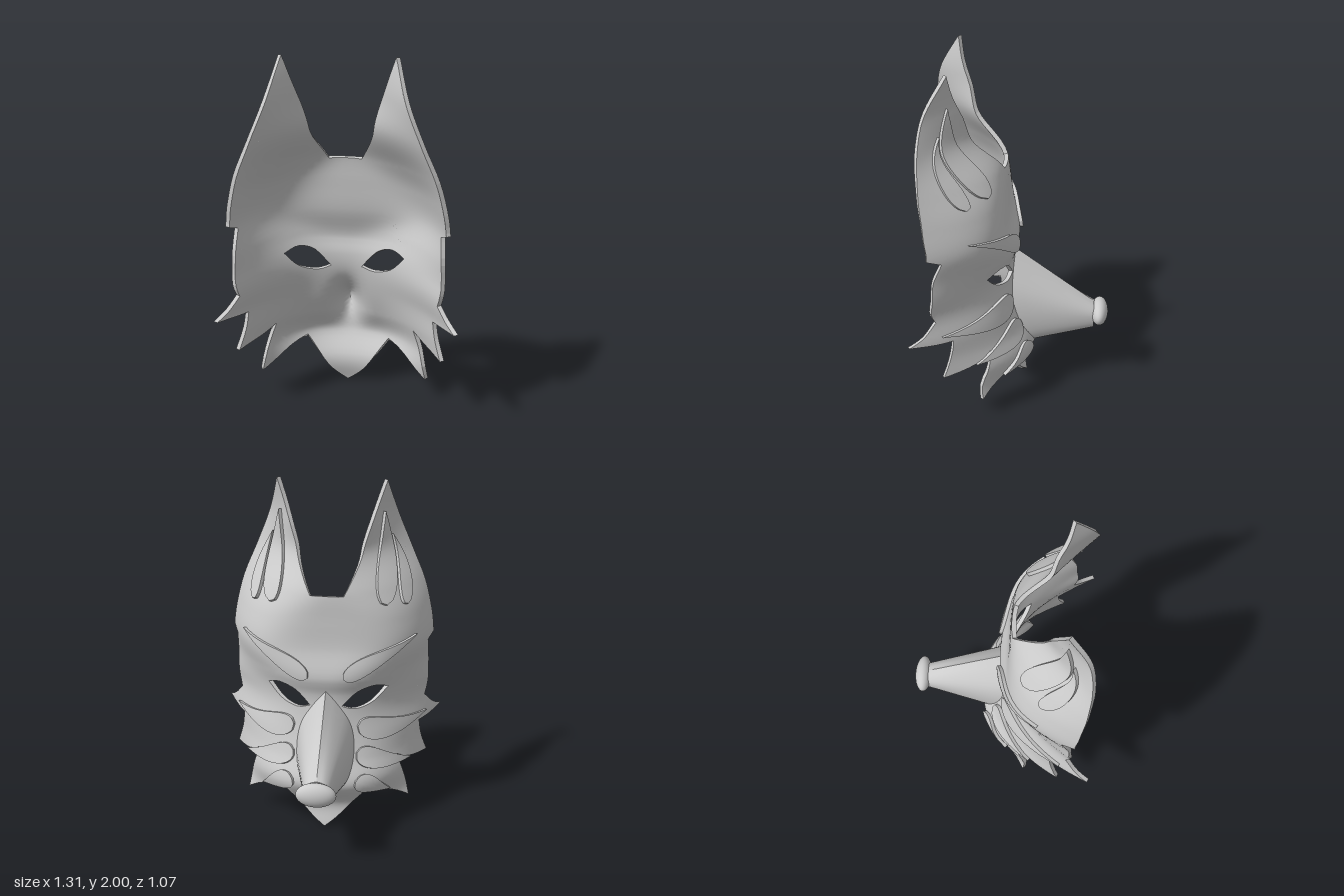
import * as THREE from 'three';

const V = (x, y) => new THREE.Vector2(x, y);
const material = new THREE.MeshStandardMaterial({ color: 0xcccccc });

// Relief of the face by height: [y, z at centre, x at edge, z at edge, curve power]
const RELIEF = [
  [0, -0.06, 0.48, 0.12, 2], [0.14, -0.035, 0.48, 0.15, 2.2], [0.3, -0.115, 0.55, 0.29, 2.5],
  [0.45, -0.05, 0.575, 0.37, 2.5], [0.58, -0.007, 0.65, 0.515, 2.45], [0.72, 0.01, 0.565, 0.41, 2.2],
  [0.82, 0.01, 0.565, 0.39, 2.2], [0.93, -0.012, 0.565, 0.385, 2.6], [1.09, 0.03, 0.59, 0.405, 4],
  [1.25, 0.042, 0.565, 0.42, 3.4], [1.4, 0.05, 0.53, 0.455, 2.2], [1.6, 0.09, 0.45, 0.475, 1.2],
  [1.79, -0.03, 0.365, 0.435, 1], [2, -0.03, 0.3, 0.315, 1],
];

// Smooth (Hermite) lookup of one relief column
function column(y, k) {
  const n = RELIEF.length;
  let i = 0;
  while (i < n - 2 && y > RELIEF[i + 1][0]) i++;
  const slope = (j) => {
    const a = RELIEF[Math.max(j - 1, 0)], b = RELIEF[Math.min(j + 1, n - 1)];
    return (b[k] - a[k]) / (b[0] - a[0]);
  };
  const [a, b] = [RELIEF[i], RELIEF[i + 1]], h = b[0] - a[0];
  const t = THREE.MathUtils.clamp((y - a[0]) / h, 0, 1), s = t * t * (3 - 2 * t);
  return a[k] * (1 - s) + b[k] * s + h * (t * (1 - t) ** 2 * slope(i) - t * t * (1 - t) * slope(i + 1));
}

// Depth of the mask at (x, y), with a hollow behind the muzzle
function depth(x, y) {
  const c = column(y, 1);
  const z = c + (column(y, 3) - c) * (Math.abs(x) / column(y, 2)) ** column(y, 4);
  return z - 0.15 * Math.exp(-((x / 0.08) ** 2) - ((y - 0.51) / 0.125) ** 2);
}

function normalAt(x, y) {
  const e = 0.004;
  return new THREE.Vector3(
    (depth(x - e, y) - depth(x + e, y)) / (2 * e),
    (depth(x, y - e) - depth(x, y + e)) / (2 * e), 1).normalize();
}

// Thin curved plate: a flat outline, finely divided and laid on the relief
function plate(name, contour, holes, outer, inner, maxEdge) {
  const pts = [contour, ...holes].flat();
  let tris = THREE.ShapeUtils.triangulateShape(contour, holes).map(([a, b, c]) => {
    const area = (pts[b].x - pts[a].x) * (pts[c].y - pts[a].y) - (pts[b].y - pts[a].y) * (pts[c].x - pts[a].x);
    return area < 0 ? [a, c, b] : [a, b, c];
  });
  const mids = new Map();
  const middle = (a, b) => {
    if (pts[a].distanceTo(pts[b]) <= maxEdge) return -1;
    const key = Math.min(a, b) + '_' + Math.max(a, b);
    if (!mids.has(key)) mids.set(key, pts.push(pts[a].clone().lerp(pts[b], 0.5)) - 1);
    return mids.get(key);
  };
  for (let changed = true; changed;) {
    changed = false;
    tris = tris.flatMap((t) => {
      const m = t.map((v, i) => middle(v, t[(i + 1) % 3]));
      const count = m.filter((v) => v >= 0).length;
      if (!count) return [t];
      changed = true;
      if (count === 3) return [[t[0], m[0], m[2]], [m[0], t[1], m[1]], [m[2], m[1], t[2]], m];
      // Rotate so that the first edge is split and the third is not
      let r = 0;
      while (m[r] < 0 || m[(r + 2) % 3] >= 0) r++;
      const [a, b, c] = [0, 1, 2].map((i) => t[(i + r) % 3]);
      const p = m[r], q = m[(r + 1) % 3];
      return q < 0 ? [[a, p, c], [p, b, c]] : [[p, b, q], [a, p, q], [a, q, c]];
    });
  }
  const norms = pts.map((p) => normalAt(p.x, p.y));
  const at = (i, off) => new THREE.Vector3(pts[i].x, pts[i].y, depth(pts[i].x, pts[i].y)).addScaledVector(norms[i], off);
  const outside = pts.map((_, i) => at(i, outer)), inside = pts.map((_, i) => at(i, inner));
  const pos = [], nor = [], edges = new Set();
  const put = (p, n) => { pos.push(p.x, p.y, p.z); nor.push(n.x, n.y, n.z); };
  for (const [a, b, c] of tris) {
    for (const i of [a, b, c]) put(inside[i], norms[i]);
    for (const i of [a, c, b]) put(outside[i], norms[i].clone().negate());
    for (const [i, j] of [[a, b], [b, c], [c, a]]) edges.add(i + '_' + j);
  }
  // Rim along every open edge
  for (const key of edges) {
    const [a, b] = key.split('_').map(Number);
    if (edges.has(b + '_' + a)) continue;
    const along = outside[b].clone().sub(outside[a]);
    const n = along.cross(inside[a].clone().sub(outside[a])).normalize();
    for (const p of [outside[a], outside[b], inside[b], outside[a], inside[b], inside[a]]) put(p, n);
  }
  const g = new THREE.BufferGeometry();
  g.setAttribute('position', new THREE.Float32BufferAttribute(pos, 3));
  g.setAttribute('normal', new THREE.Float32BufferAttribute(nor, 3));
  const mesh = new THREE.Mesh(g, material);
  mesh.name = name;
  return mesh;
}

// Smooth line through points, without its last point
const run = (list, n = 4) => new THREE.SplineCurve(list.map(([x, y]) => V(x, y)))
  .getPoints((list.length - 1) * n).slice(0, -1);
const mirror = (list) => list.map((p) => V(-p.x, p.y)).reverse();

// Teardrop leaf, round at the root and pointed at the tip
function leaf([x0, y0], [x1, y1], width, bend) {
  const root = V(x0, y0), dir = V(x1 - x0, y1 - y0), side = V(-dir.y, dir.x).normalize();
  const edge = (s) => Array.from({ length: 17 }, (_, i) => {
    const u = (i / 16) ** 2 * 0.5 + (i / 16) * 0.5;
    const w = s * width * Math.sin(Math.PI * Math.sqrt(u)) + bend * Math.sin(Math.PI * u);
    return root.clone().addScaledVector(dir, u).addScaledVector(side, w);
  });
  return [...edge(-1), ...edge(1).reverse().slice(1, -1)];
}

// Muzzle lofted from the face to a small flat end
function muzzle() {
  const ring = (half) => {
    const p = half.map(([x, y]) => new THREE.Vector3(x, y, 0));
    const back = p.slice(1, -1).reverse().map((v) => new THREE.Vector3(-v.x, v.y, 0));
    return new THREE.CatmullRomCurve3([...p, ...back, p[0].clone()]).getPoints(40);
  };
  const base = ring([[0, 0.855], [0.07, 0.77], [0.145, 0.65], [0.17, 0.52], [0.155, 0.38], [0.11, 0.3], [0, 0.285]]);
  const tip = ring([[0, 0.51], [0.035, 0.5], [0.06, 0.475], [0.07, 0.445], [0.065, 0.39], [0.045, 0.36], [0, 0.355]]);
  base.forEach((p) => { p.z = depth(p.x, p.y) + 0.012; });
  tip.forEach((p) => { p.z = -0.45; });
  const steps = 6, n = base.length, pos = [], idx = [];
  for (let s = 0; s <= steps; s++)
    for (let i = 0; i < n; i++) pos.push(...base[i].clone().lerp(tip[i], s / steps).toArray());
  for (let s = 0; s < steps; s++)
    for (let i = 0; i < n - 1; i++) {
      const a = s * n + i, b = a + n;
      idx.push(a, a + 1, b, a + 1, b + 1, b);
    }
  const centre = pos.push(0, 0.43, -0.45) / 3 - 1;
  const rim = pos.length / 3;
  tip.forEach((p) => pos.push(p.x, p.y, p.z));
  for (let i = 0; i < n - 1; i++) idx.push(centre, rim + i, rim + i + 1);
  const g = new THREE.BufferGeometry();
  g.setAttribute('position', new THREE.Float32BufferAttribute(pos, 3));
  g.setIndex(idx);
  g.computeVertexNormals();
  const mesh = new THREE.Mesh(g, material);
  mesh.name = 'muzzle';
  return mesh;
}

export function createModel() {
  const group = new THREE.Group();
  group.name = 'animalMask';

  // Outline of one half, from chin up over the cheek tufts to the ear
  const half = [
    run([[0, 0.005], [0.09, 0.08], [0.195, 0.2], [0.25, 0.27]]),
    run([[0.25, 0.27], [0.35, 0.225], [0.485, 0.135]]),
    run([[0.485, 0.135], [0.45, 0.3], [0.41, 0.42]]),
    run([[0.41, 0.42], [0.48, 0.375], [0.58, 0.345]]),
    run([[0.58, 0.345], [0.545, 0.46], [0.53, 0.56]]),
    run([[0.53, 0.56], [0.585, 0.565], [0.655, 0.583]]),
    run([[0.655, 0.583], [0.605, 0.625], [0.557, 0.69]]),
    run([[0.557, 0.69], [0.574, 0.78], [0.573, 0.92], [0.566, 1.06]]),
    run([[0.566, 1.06], [0.597, 1.09]], 1),
    run([[0.597, 1.09], [0.582, 1.21], [0.537, 1.39], [0.457, 1.58], [0.373, 1.79], [0.312, 2]]),
    run([[0.312, 2], [0.255, 1.83], [0.2, 1.66], [0.17, 1.55], [0.095, 1.4]]),
    [V(0.095, 1.4)],
  ].flat();
  const outline = [...half, ...mirror(half.slice(1))];
  const eye = [
    ...run([[0.35, 0.845], [0.275, 0.87], [0.18, 0.84], [0.092, 0.752]]),
    ...run([[0.092, 0.752], [0.17, 0.733], [0.27, 0.765], [0.35, 0.845]]),
  ];
  group.add(plate('maskShell', outline, [eye, mirror(eye)], 0, 0.025, 0.05));

  // Raised leaf-shaped tufts: root, tip, half width, bend
  const tufts = {
    innerEarLeaf: [[0.325, 1.33], [0.29, 1.82], 0.052, 0],
    outerEarLeaf: [[0.435, 1.31], [0.335, 1.68], 0.03, -0.015],
    brow: [[0.1, 0.935], [0.49, 1.14], 0.047, 0.01],
    upperCheekTuft: [[0.18, 0.63], [0.56, 0.605], 0.063, -0.025],
    middleCheekTuft: [[0.18, 0.48], [0.48, 0.375], 0.055, -0.01],
    lowerCheekTuft: [[0.18, 0.33], [0.37, 0.235], 0.05, 0.01],
  };
  for (const [name, args] of Object.entries(tufts)) {
    const shape = leaf(...args);
    group.add(plate(name + 'Left', shape, [], -0.02, 0.005, 0.04));
    group.add(plate(name + 'Right', mirror(shape), [], -0.02, 0.005, 0.04));
  }

  group.add(muzzle());
  const nose = new THREE.Mesh(new THREE.SphereGeometry(1, 32, 20), material);
  nose.name = 'nose';
  nose.scale.set(0.112, 0.07, 0.05);
  nose.position.set(0, 0.445, -0.482);
  group.add(nose);
  return group;
}
